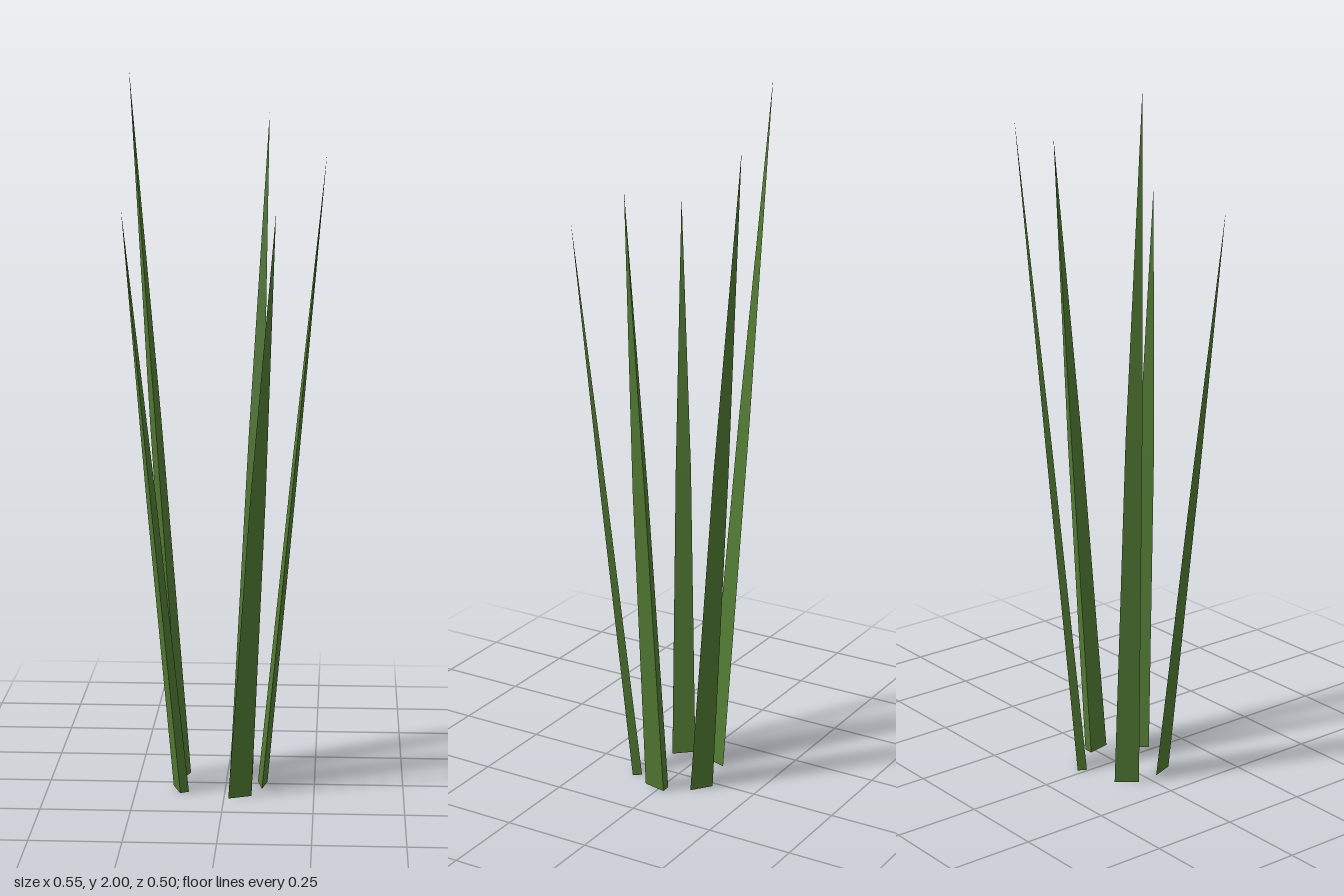
import * as THREE from 'three';

const leafGreen = new THREE.MeshStandardMaterial({ color: 0x527a33 });
leafGreen.name = 'leafGreen';

// Base centre, tip and lean angle (degrees, from +x towards +z) of each blade
const blades = [
  { base: [0.103, 0.004], tip: [0.273, 0.0], height: 1.78, angle: 0 },
  { base: [0.05, 0.111], tip: [0.143, 0.252], height: 1.64, angle: 56.5 },
  { base: [-0.124, 0.07], tip: [-0.273, 0.155], height: 1.64, angle: 149 },
  { base: [-0.128, -0.048], tip: [-0.275, -0.132], height: 2.0, angle: 209 },
  { base: [0.032, -0.102], tip: [0.109, -0.253], height: 1.88, angle: -64 },
];

// Flattened three-sided spike, fuller at mid height, leaning from base to tip
function makeBlade({ base, tip, height, angle }) {
  const geometry = new THREE.ConeGeometry(1, 1, 3, 2).toNonIndexed();
  const p = geometry.attributes.position;
  const c = Math.cos(THREE.MathUtils.degToRad(angle));
  const s = Math.sin(THREE.MathUtils.degToRad(angle));
  for (let i = 0; i < p.count; i++) {
    const isMiddle = Math.abs(p.getY(i)) < 0.01;
    const t = isMiddle ? 0.52 : p.getY(i) + 0.5;
    const swell = isMiddle ? 1.3 : 1;
    const u = p.getX(i) * 0.0156 * swell; // thickness, along the lean
    const v = p.getZ(i) * 0.045 * swell; // width, across the lean
    p.setXYZ(
      i,
      THREE.MathUtils.lerp(base[0], tip[0], t) + u * c - v * s,
      height * t,
      THREE.MathUtils.lerp(base[1], tip[1], t) + u * s + v * c
    );
  }
  geometry.computeVertexNormals(); // faceted
  return new THREE.Mesh(geometry, leafGreen);
}

export function createModel() {
  const group = new THREE.Group();
  group.name = 'grassTuft';
  blades.forEach((data, i) => {
    const blade = makeBlade(data);
    blade.name = `grassBlade${i + 1}`;
    group.add(blade);
  });
  return group;
}
